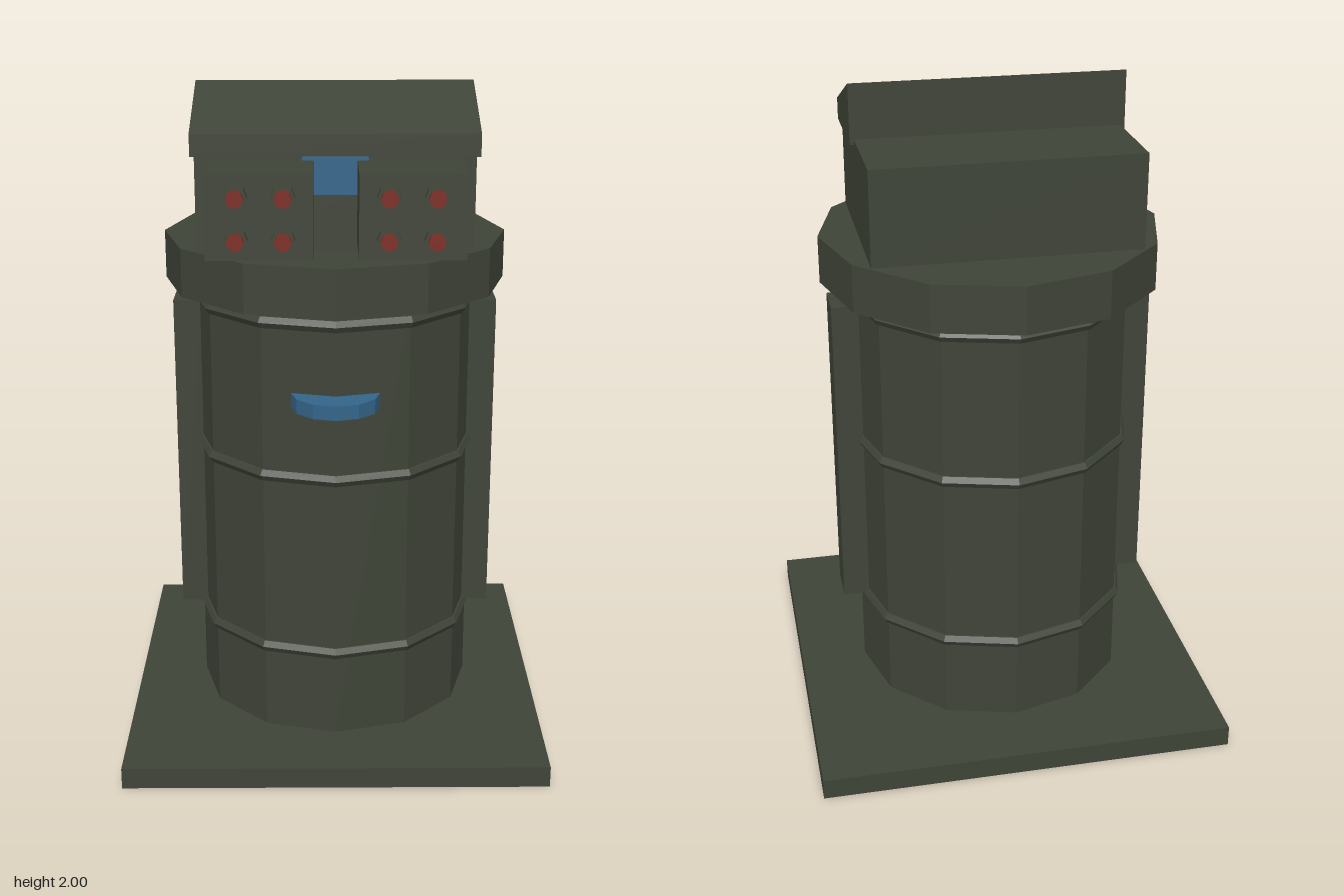
import * as THREE from 'three';

const flat = (name, color) => {
  const m = new THREE.MeshStandardMaterial({ color, flatShading: true });
  m.name = name;
  return m;
};

export function createModel() {
  const model = new THREE.Group();
  model.name = 'sentryTower';
  const olive = flat('darkOlive', 0x3f4438);
  const blue = flat('steelBlue', 0x34658a);
  const red = flat('dullRed', 0x7c2c22);

  const add = (name, geometry, material, x = 0, y = 0, z = 0) => {
    const mesh = new THREE.Mesh(geometry, material);
    mesh.name = name;
    mesh.position.set(x, y, z);
    model.add(mesh);
    return mesh;
  };
  // Box given by its minimum and maximum along each axis
  const box = (name, mat, x0, x1, y0, y1, z0, z1) =>
    add(name, new THREE.BoxGeometry(x1 - x0, y1 - y0, z1 - z0), mat,
      (x0 + x1) / 2, (y0 + y1) / 2, (z0 + z1) / 2);
  // Twelve-sided upright drum
  const drum = (name, mat, r, y0, y1, z = 0) =>
    add(name, new THREE.CylinderGeometry(r, r, y1 - y0, 12), mat, 0, (y0 + y1) / 2, z);

  // Base plate, barrel and collar
  box('basePlate', olive, -0.636, 0.636, 0, 0.065, -0.636, 0.636);
  drum('barrel', olive, 0.428, 0.065, 1.41);
  drum('collar', olive, 0.517, 1.405, 1.55);

  // Raised hoops around the barrel
  for (const y of [0.335, 0.895, 1.362]) {
    const hoop = new THREE.TorusGeometry(0.423, 0.02, 6, 12).rotateX(Math.PI / 2);
    add('barrelHoop', hoop, olive, 0, y, 0);
  }

  // Rounded ledge on the front of the barrel
  drum('frontLedge', blue, 0.13, 1.112, 1.155, 0.388);

  // Head with sloping hood and front panel
  box('head', olive, -0.398, 0.398, 1.55, 1.835, -0.298, 0.298);
  const profile = new THREE.Shape([
    new THREE.Vector2(0, 1.82), new THREE.Vector2(0.293, 1.82),
    new THREE.Vector2(0.293, 1.885), new THREE.Vector2(0, 2),
  ]);
  const hood = new THREE.ExtrudeGeometry(profile, { depth: 0.822, bevelEnabled: false })
    .translate(0, 0, -0.411).rotateY(-Math.PI / 2);
  add('hood', hood, olive);
  box('frontPanel', blue, -0.093, 0.093, 1.718, 1.822, 0.296, 0.324);

  for (const s of [-1, 1]) {
    // Side rails
    box('sideRail', olive, s * 0.45 - 0.043, s * 0.45 + 0.043, 0.34, 1.345, -0.062, 0.062);
    // Launcher pods with four tubes each
    box('launcherPod', olive, s * 0.209 - 0.147, s * 0.209 + 0.147, 1.58, 1.815, 0.296, 0.543);
    for (const x of [0.142, 0.27]) {
      for (const y of [1.64, 1.757]) {
        const tube = new THREE.CylinderGeometry(0.033, 0.033, 0.05, 8).rotateX(Math.PI / 2);
        add('launchTube', tube, olive, s * x, y, 0.555);
        const tip = new THREE.CylinderGeometry(0.024, 0.024, 0.05, 8).rotateX(Math.PI / 2);
        add('tubeTip', tip, red, s * x, y, 0.574);
      }
    }
  }
  return model;
}
